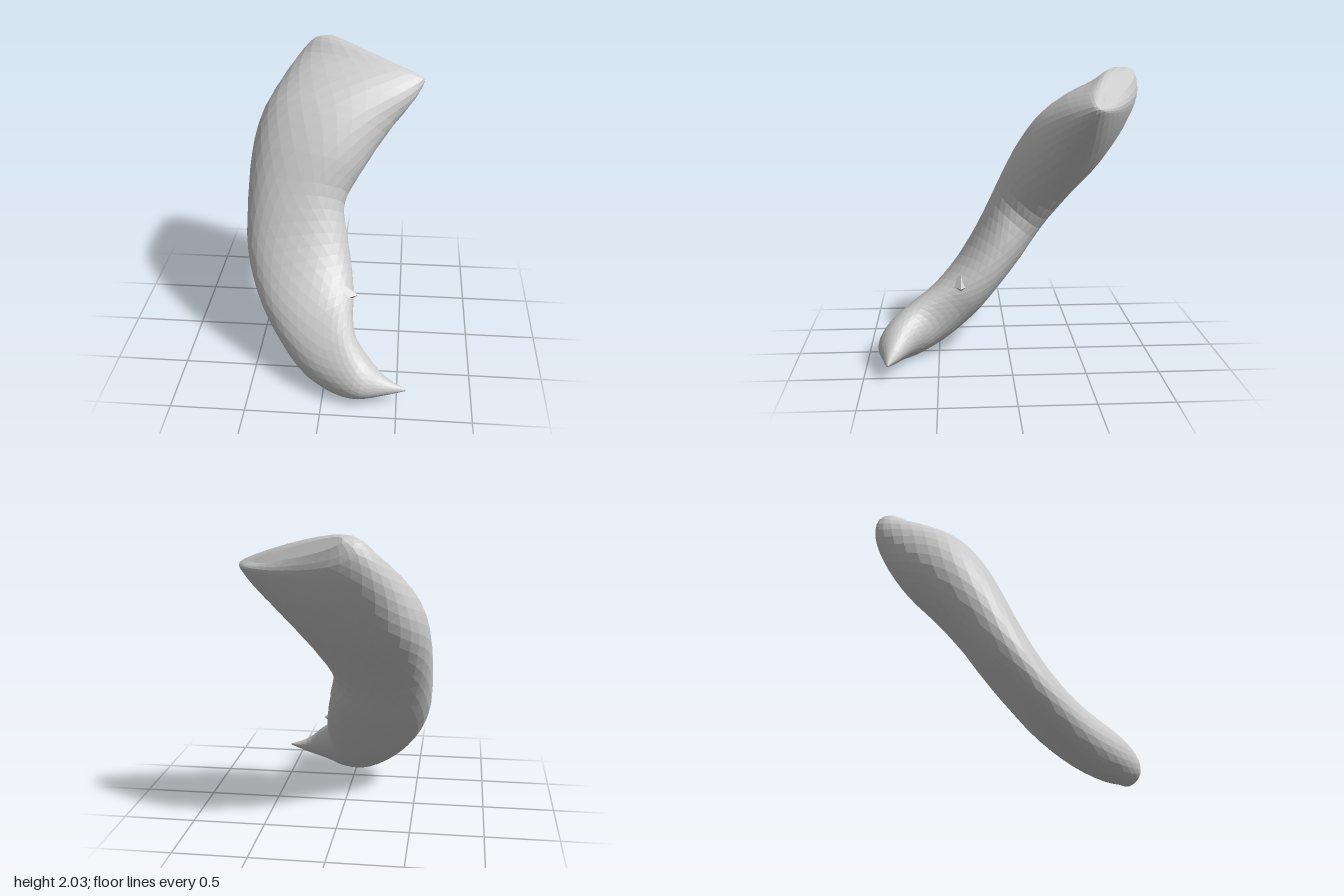
import * as THREE from 'three';

// The claw lies in a leaning plane: ALONG runs up its length, FACE is the plane normal.
const ALONG = new THREE.Vector3(0, 0.747, -0.665);
const FACE = new THREE.Vector3(0, 0.665, 0.747);
const place = (x, s, n) => new THREE.Vector3(x, 0, 0).addScaledVector(ALONG, s).addScaledVector(FACE, n);

// Cross-sections from tip to root:
// outer edge (x, s, n), inner edge (x, s, n), half thickness
const SECTIONS = [
  [0.56, -0.49, 0.69, 0.565, -0.475, 0.69, 0.005],
  [0.40, -0.53, 0.68, 0.42, -0.40, 0.68, 0.055],
  [0.23, -0.56, 0.68, 0.29, -0.26, 0.68, 0.12],
  [0.06, -0.52, 0.63, 0.21, -0.14, 0.64, 0.165],
  [-0.15, -0.39, 0.57, 0.18, 0.005, 0.58, 0.185],
  [-0.35, -0.14, 0.52, 0.175, 0.17, 0.53, 0.178],
  [-0.50, 0.13, 0.51, 0.15, 0.37, 0.52, 0.175],
  [-0.60, 0.456, 0.53, 0.11, 0.59, 0.55, 0.195],
  [-0.62, 0.82, 0.58, 0.08, 0.81, 0.61, 0.225],
  [-0.61, 1.18, 0.61, 0.20, 1.04, 0.685, 0.262],
  [-0.56, 1.45, 0.61, 0.38, 1.325, 0.74, 0.275],
  [-0.46, 1.69, 0.60, 0.54, 1.53, 0.785, 0.235],
  [-0.34, 1.91, 0.60, 0.615, 1.67, 0.80, 0.17],
  [-0.22, 2.05, 0.645, 0.59, 1.715, 0.785, 0.125],
  [-0.10, 2.08, 0.67, 0.50, 1.75, 0.765, 0.05],
];
const RINGS = 44, SIDES = 26;

// Smooth interpolation of every column of the section list
function sectionAt(t) {
  const f = t * (SECTIONS.length - 1), i = Math.min(Math.floor(f), SECTIONS.length - 2), u = f - i;
  const row = k => SECTIONS[Math.max(0, Math.min(SECTIONS.length - 1, k))];
  return SECTIONS[0].map((_, c) => {
    const a = row(i - 1)[c], b = row(i)[c], d = row(i + 1)[c], e = row(i + 2)[c];
    return b + 0.5 * u * (d - a + u * (2 * a - 5 * b + 4 * d - e + u * (3 * (b - d) + e - a)));
  });
}

function clawGeometry() {
  const pos = [], idx = [];
  const push = v => pos.push(v.x, v.y, v.z);
  const bow = v => Math.sign(v) * Math.abs(v) ** 0.93;
  for (let r = 0; r <= RINGS; r++) {
    const [ox, os, on, ix, is, inn, thick] = sectionAt(r / RINGS);
    const outer = place(ox, os, on), inner = place(ix, is, inn);
    // Sections become teardrops near the root, thinner at the inner edge
    const taper = 0.35 * THREE.MathUtils.smoothstep(r / RINGS, 0.5, 0.9);
    for (let k = 0; k < SIDES; k++) {
      const a = ((k + (r % 2) * 0.5) / SIDES) * Math.PI * 2; // half step on odd rings
      const across = bow(Math.cos(a));
      const p = outer.clone().lerp(inner, 0.5 + 0.5 * across);
      push(p.addScaledVector(FACE, thick * (1 - taper * across) * bow(Math.sin(a))));
    }
  }
  for (let r = 0; r < RINGS; r++) {
    for (let k = 0; k < SIDES; k++) {
      const n = (k + 1) % SIDES;
      const a = r * SIDES + k, b = r * SIDES + n, c = a + SIDES, d = b + SIDES;
      if (r % 2) idx.push(a, c, d, a, d, b);
      else idx.push(a, c, b, b, c, d);
    }
  }
  // Close the tip and the root
  const closeEnd = (r, flip) => {
    const [ox, os, on, ix, is, inn] = sectionAt(r / RINGS);
    const centre = pos.length / 3;
    push(place((ox + ix) / 2, (os + is) / 2, (on + inn) / 2));
    for (let k = 0; k < SIDES; k++) {
      const a = r * SIDES + k, b = r * SIDES + (k + 1) % SIDES;
      idx.push(centre, ...(flip ? [b, a] : [a, b]));
    }
  };
  closeEnd(0, false);
  closeEnd(RINGS, true);

  const g = new THREE.BufferGeometry();
  g.setAttribute('position', new THREE.Float32BufferAttribute(pos, 3));
  g.setIndex(idx);
  g.computeVertexNormals();
  return g;
}

export function createModel() {
  const group = new THREE.Group();
  group.name = 'claw';
  const material = new THREE.MeshStandardMaterial({ color: 0xcccccc, flatShading: true });

  const body = new THREE.Mesh(clawGeometry(), material);
  body.name = 'clawBody';
  group.add(body);

  // Small chipped burr on the inner edge
  const burr = new THREE.Mesh(new THREE.ConeGeometry(0.08, 0.11, 4), material);
  burr.name = 'edgeBurr';
  burr.position.set(0.155, 0.51, 0.34);
  burr.rotation.z = -Math.PI / 2;
  group.add(burr);
  return group;
}
